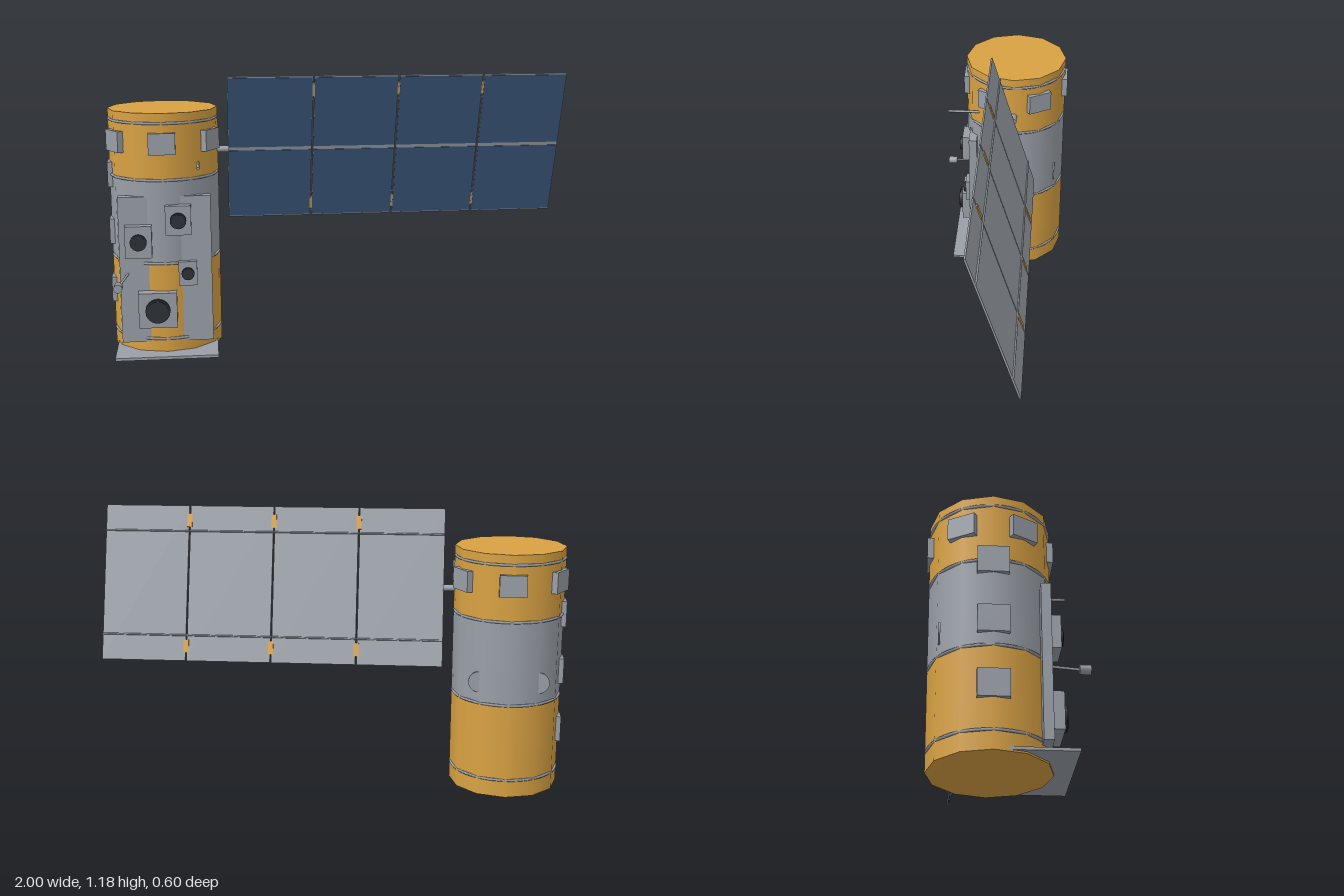
import * as THREE from 'three';

const mat = (name, color) => {
  const m = new THREE.MeshStandardMaterial({ color });
  m.name = name;
  return m;
};

export function createModel() {
  const gold = mat('gold foil', 0xd9a243);
  const grey = mat('grey metal', 0x9aa0a8);
  const blue = mat('solar blue', 0x3d5a80);
  const dark = mat('dark lens', 0x2d3138);

  const model = new THREE.Group();
  model.name = 'satellite';

  const add = (parent, name, geo, material, x = 0, y = 0, z = 0) => {
    const m = new THREE.Mesh(geo, material);
    m.name = name;
    m.position.set(x, y, z);
    parent.add(m);
    return m;
  };
  const box = (parent, name, material, w, h, d, x, y, z) =>
    add(parent, name, new THREE.BoxGeometry(w, h, d), material, x, y, z);
  // Round bar between two points
  const rod = (parent, name, material, r, a, b, sides = 12) => {
    const p = new THREE.Vector3(...a), q = new THREE.Vector3(...b);
    const m = add(parent, name, new THREE.CylinderGeometry(r, r, p.distanceTo(q), sides), material);
    m.position.copy(p).add(q).multiplyScalar(0.5);
    m.quaternion.setFromUnitVectors(new THREE.Vector3(0, 1, 0), q.sub(p).normalize());
    return m;
  };

  // Twelve-sided body in three sections
  const CX = -0.76, CZ = -0.053, R = 0.2345;
  const body = new THREE.Group();
  body.name = 'body';
  body.position.set(CX, 0, CZ);
  model.add(body);
  [['lowerBody', gold, 0, 0.408], ['middleBody', grey, 0.408, 0.766], ['upperBody', gold, 0.766, 1.047]]
    .forEach(([name, m, y0, y1]) =>
      add(body, name, new THREE.CylinderGeometry(R, R, y1 - y0, 12), m, 0, (y0 + y1) / 2, 0));

  // Thin hoops that show on the flat faces
  for (const y of [0.076, 0.408, 0.766, 1.005]) {
    add(body, 'hoop', new THREE.TorusGeometry(0.23, 0.006, 6, 48), grey, 0, y, 0).rotation.x = Math.PI / 2;
  }

  // Six boxes around the top
  for (let i = 0; i < 6; i++) {
    const a = (i * Math.PI) / 3;
    box(body, 'upperBox', grey, 0.112, 0.09, 0.03, Math.sin(a) * 0.23, 0.92, Math.cos(a) * 0.23).rotation.y = a;
  }

  // Three boxes down the right side
  for (const y of [0.255, 0.515, 0.765]) box(body, 'sideBox', grey, 0.025, 0.11, 0.12, -0.2275, y, 0);

  // Round grips at the back
  for (const s of [-1, 1]) {
    add(body, 'grip', new THREE.CylinderGeometry(0.045, 0.045, 0.007, 24), grey, s * 0.124, 0.5, -0.194)
      .rotation.x = Math.PI / 2;
  }

  // Base and front plates
  box(model, 'basePlate', grey, 0.435, 0.012, 0.3, CX - 0.002, 0.013, 0.1);
  box(model, 'frontPlate', grey, 0.388, 0.635, 0.038, -0.758, 0.378, 0.144);

  // Instruments: centre, width, height, box front, lens radius, lens front
  [
    [-0.869, 0.508, 0.112, 0.137, 0.201, 0.035, 0.214],
    [-0.701, 0.598, 0.108, 0.126, 0.201, 0.034, 0.216],
    [-0.666, 0.364, 0.078, 0.104, 0.187, 0.027, 0.198],
    [-0.796, 0.212, 0.162, 0.152, 0.213, 0.052, 0.232],
  ].forEach(([x, y, w, h, front, r, lens]) => {
    box(model, 'instrumentBox', grey, w, h, front - 0.155, x, y, (front + 0.155) / 2);
    const d = lens - front;
    add(model, 'lensRim', new THREE.CylinderGeometry(r, r, d * 0.75, 24), dark, x, y, front + d * 0.375)
      .rotation.x = Math.PI / 2;
    add(model, 'lens', new THREE.CylinderGeometry(r * 0.85, r * 0.85, d, 24), dark, x, y, front + d / 2)
      .rotation.x = Math.PI / 2;
  });

  // Antenna on a slanted stalk, and a plain probe
  rod(model, 'antennaStalk', grey, 0.005, [-0.915, 0.366, 0.15], [-0.952, 0.337, 0.262]);
  rod(model, 'antennaHead', grey, 0.018, [-0.953, 0.337, 0.258], [-0.953, 0.337, 0.3], 16);
  rod(model, 'probe', grey, 0.006, [-0.612, 0.828, 0.05], [-0.612, 0.828, 0.262]);

  // Arm to the solar wing
  rod(model, 'wingArm', grey, 0.0145, [-0.6, 0.858, CZ], [-0.478, 0.858, CZ], 16);

  // Tilted solar wing
  const wing = new THREE.Group();
  wing.name = 'solarWing';
  wing.position.set(0, 0.858, CZ);
  wing.rotation.x = 0.299;
  model.add(wing);
  const H = 0.679, edges = [-0.482, -0.112, 0.258, 0.629, 1.0], gap = 0.006;
  for (let i = 0; i < 4; i++) {
    const x0 = edges[i] + (i ? gap / 2 : 0), x1 = edges[i + 1] - (i < 3 ? gap / 2 : 0);
    const w = x1 - x0, x = (x0 + x1) / 2;
    box(wing, 'wingPanel', grey, w, H, 0.007, x, 0, 0);
    for (const s of [-1, 1]) {
      box(wing, 'solarCell', blue, w - 0.005, H / 2 - 0.014, 0.002, x, s * (H / 4 + 0.001), 0.0042);
    }
  }
  for (const s of [-1, 1]) {
    // Long stiffening rods behind, with gold hinges over the gaps
    rod(wing, 'wingRod', grey, 0.004, [-0.482, s * 0.228, -0.006], [1.0, s * 0.228, -0.006], 8);
    for (const x of edges.slice(1, 4)) {
      box(wing, 'hinge', gold, 0.022, 0.058, 0.005, x, s * 0.275, -0.005);
      box(wing, 'hingePin', gold, gap, 0.058, 0.01, x, s * 0.275, 0);
    }
  }

  return model;
}
